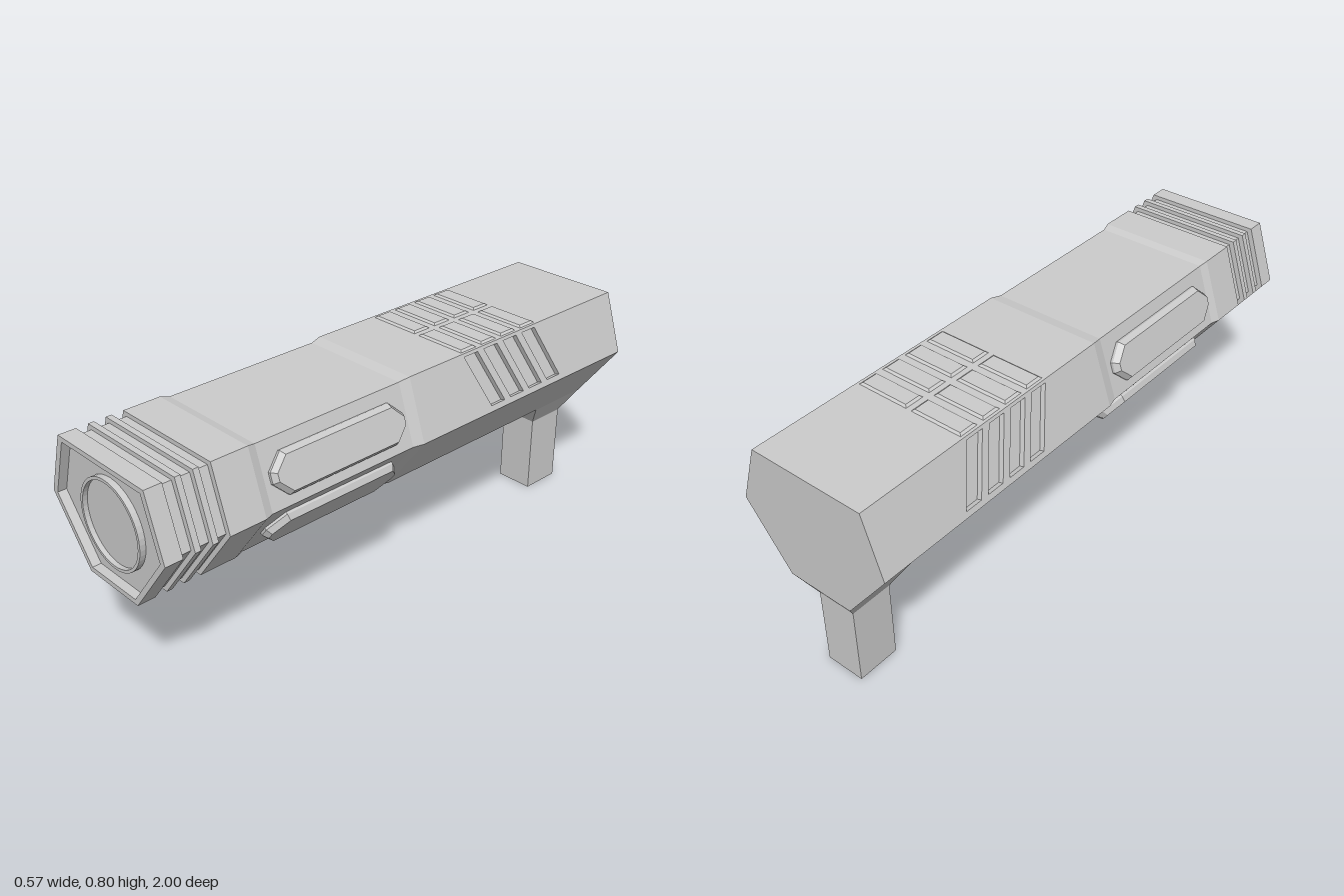
import * as THREE from 'three';

const material = new THREE.MeshStandardMaterial({ color: 0xcccccc, flatShading: true, side: THREE.DoubleSide });

// Six-sided section, counter-clockwise seen from the front
const HEX = [[-0.12, 0.37], [0.12, 0.37], [0.28, 0.58], [0.21, 0.79], [-0.21, 0.79], [-0.28, 0.58]];
const MID_Y = 0.583;

function hexRing(z, s = 1) {
  return HEX.map(([x, y]) => [x * s, MID_Y + (y - MID_Y) * s, z]);
}

// Joins matching rings with quads and caps both ends
function loft(rings, skip = () => false) {
  const out = [];
  const n = rings[0].length;
  const tri = (a, b, c) => out.push(...a, ...b, ...c);
  for (let i = 0; i < rings.length - 1; i++) {
    for (let j = 0; j < n; j++) {
      if (skip(i, j)) continue;
      const k = (j + 1) % n;
      tri(rings[i][j], rings[i][k], rings[i + 1][k]);
      tri(rings[i][j], rings[i + 1][k], rings[i + 1][j]);
    }
  }
  const first = rings[0], last = rings[rings.length - 1];
  for (let j = 1; j < n - 1; j++) {
    tri(first[0], first[j + 1], first[j]);
    tri(last[0], last[j], last[j + 1]);
  }
  const g = new THREE.BufferGeometry();
  g.setAttribute('position', new THREE.Float32BufferAttribute(out, 3));
  g.computeVertexNormals();
  return g;
}

function polygon(points) {
  return new THREE.Shape(points.map(([a, b]) => new THREE.Vector2(a, b)));
}

// Low bevelled plate whose back is sunk below its local z = 0
function plate(points, height, bevel) {
  const g = new THREE.ExtrudeGeometry(polygon(points), {
    depth: 0.02, bevelEnabled: true, bevelSegments: 1,
    bevelThickness: height, bevelSize: bevel, bevelOffset: -bevel,
  });
  return g.translate(0, 0, -0.02);
}

// Local frame on a side face: x runs along the body, y up the face, z outward
function faceMatrix(side, p, q) {
  const X = new THREE.Vector3(0, 0, -side);
  const Y = new THREE.Vector3(side * (q[0] - p[0]), q[1] - p[1], 0).normalize();
  const Z = new THREE.Vector3().crossVectors(X, Y);
  return new THREE.Matrix4().makeBasis(X, Y, Z).setPosition(side * p[0], p[1], 0);
}

export function createModel() {
  const model = new THREE.Group();
  const add = (name, geometry, parent = model) => {
    const mesh = new THREE.Mesh(geometry, material);
    mesh.name = name;
    parent.add(mesh);
    return mesh;
  };

  // Body: rear block, waisted grip, ringed head, sunken front
  const G = 0.93, W = 0.965;
  const profile = [[-1, 1], [0.01, 1], [0.05, W], [0.62, W], [0.65, 1], [0.78, 1]];
  for (const [a, b] of [[0.78, 0.82], [0.84, 0.88], [0.9, 0.94]]) {
    profile.push([a, 1], [a, G], [b, G], [b, 1]);
  }
  profile.push([1, 1], [1, 0.92], [0.97, 0.92]);
  // The rear upper sides are left open for the slotted panels
  add('body', loft(profile.map(([z, s]) => hexRing(z, s)), (i, j) => i === 0 && (j === 2 || j === 4)));

  // Front lens ring and lens
  const ring = [[0.147, 0], [0.147, 0.02], [0.137, 0.02], [0.137, 0]].map(p => new THREE.Vector2(...p));
  add('lensRing', new THREE.LatheGeometry(ring, 48).rotateX(Math.PI / 2).translate(0, 0.58, 0.97));
  add('lens', new THREE.CircleGeometry(0.137, 48).translate(0, 0.58, 0.974));

  for (const side of [1, -1]) {
    const label = side > 0 ? 'left' : 'right';
    const upper = faceMatrix(side, HEX[2], HEX[3]);
    const lower = faceMatrix(side, HEX[1], HEX[2]);
    const onFace = pts => pts.map(([z, b]) => [-side * z, b]);
    const length = Math.hypot(0.07, 0.21);

    // Slotted vent panel
    const outline = onFace([[-1, 0], [0.01, 0], [0.01, length], [-1, length]]);
    const panel = polygon(outline);
    for (let i = 0; i < 4; i++) {
      const z = -0.235 - i * 0.095;
      panel.holes.push(polygon(onFace([[z, 0.21], [z - 0.065, 0.21], [z - 0.145, 0.02], [z - 0.08, 0.02]])));
    }
    const depth = 0.018;
    add(label + 'VentPanel', new THREE.ExtrudeGeometry(panel, { depth, bevelEnabled: false })
      .translate(0, 0, -depth).applyMatrix4(upper));
    add(label + 'VentFloor', new THREE.ShapeGeometry(polygon(outline))
      .translate(0, 0, -depth).applyMatrix4(upper));

    // Raised grip pads with clipped ends
    const pad = (b0, b1) => {
      const m = (b0 + b1) / 2, e = 0.018;
      return plate(onFace([[0.12, b0], [0.55, b0], [0.6, m - e], [0.6, m + e],
        [0.55, b1], [0.12, b1], [0.07, m + e], [0.07, m - e]]), 0.019, 0.012);
    };
    add(label + 'UpperGripPad', pad(0.037, 0.172).applyMatrix4(upper));
    add(label + 'LowerGripPad', pad(0.05, 0.215).applyMatrix4(lower));

    // Raised tiles on the top
    for (let i = 0; i < 4; i++) {
      const z = -0.27 - i * 0.097, x0 = side * 0.01, x1 = side * 0.2;
      const tile = plate([[x0, -z - 0.036], [x1, -z - 0.036], [x1, -z + 0.036], [x0, -z + 0.036]], 0.006, 0.008);
      add(label + 'TopTile', tile.rotateX(-Math.PI / 2).translate(0, 0.79, 0));
    }
  }

  // Rear handle, flaring into the body
  const rect = (y, x, z0, z1) => [[-x, y, z1], [x, y, z1], [x, y, z0], [-x, y, z0]];
  add('handle', loft([rect(0, 0.07, -0.95, -0.8), rect(0.285, 0.07, -0.95, -0.8), rect(0.37, 0.12, -1, -0.75)]));

  return model;
}
